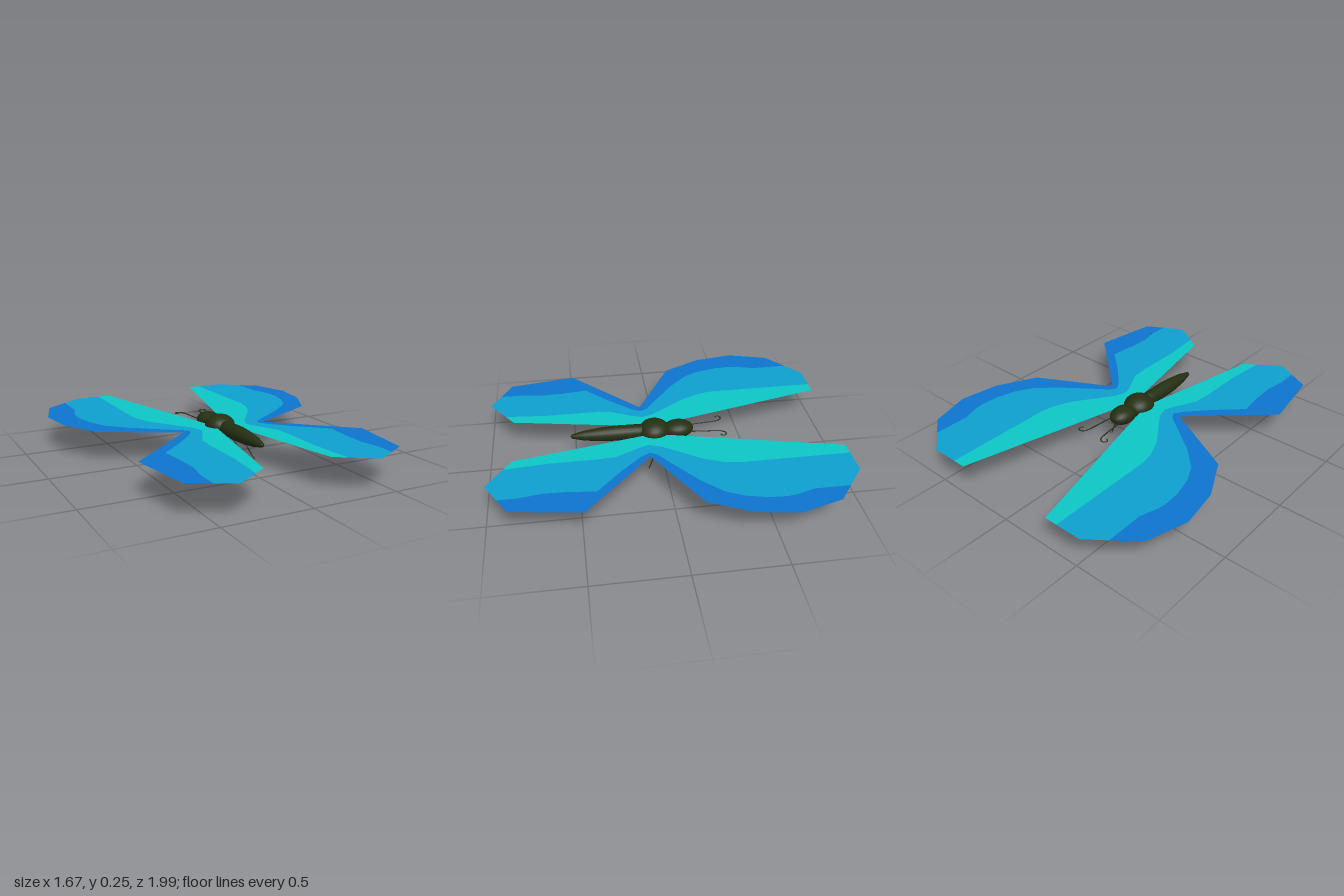
import * as THREE from 'three';

const mat = (name, color, side = THREE.FrontSide) => {
  const m = new THREE.MeshStandardMaterial({ color, side });
  m.name = name;
  return m;
};

export function createModel() {
  const root = new THREE.Group();
  root.name = 'butterfly';
  const dark = mat('dark olive', 0x242f12);
  const teal = mat('teal', 0x0cc6c6, THREE.DoubleSide);
  const sky = mat('sky blue', 0x0f9fce, THREE.DoubleSide);
  const blue = mat('deep blue', 0x0c74cd, THREE.DoubleSide);
  const wingY = 0.187;

  const add = (name, geometry, material, parent = root) => {
    const mesh = new THREE.Mesh(geometry, material);
    mesh.name = name;
    parent.add(mesh);
    return mesh;
  };

  // Body: head and thorax ellipsoids
  const ellipsoid = (name, z, rx, ry, rz) => {
    const g = new THREE.SphereGeometry(1, 24, 16);
    g.rotateX(Math.PI / 2);
    g.scale(rx, ry, rz);
    add(name, g, dark).position.set(0, wingY, z);
  };
  ellipsoid('head', -0.095, 0.066, 0.049, 0.088);
  ellipsoid('thorax', 0.045, 0.087, 0.064, 0.09);

  // Abdomen: tapered lathe pointing backwards along +z
  const profile = [[0, 0.05], [0.036, 0.08], [0.042, 0.14], [0.044, 0.27], [0.04, 0.35],
    [0.029, 0.45], [0.012, 0.52], [0, 0.53]].map(([r, z]) => new THREE.Vector2(r, z));
  const abdomen = new THREE.LatheGeometry(profile, 20);
  abdomen.rotateX(Math.PI / 2);
  add('abdomen', abdomen, dark).position.y = wingY;

  // Wing bands as [x, z] lines, running from the fore tip to the hind tip
  const innerLine = [[0.305, -1], [0.04, 0.06], [0.195, 0.855]];
  const tealLine = [[0.38, -1], [0.38, -0.37], [0.365, -0.29], [0.32, -0.185], [0.24, -0.07],
    [0.17, 0.03], [0.147, 0.1], [0.17, 0.16], [0.235, 0.29], [0.243, 0.4], [0.243, 0.66],
    [0.255, 0.8], [0.265, 0.902]];
  const blueLine = [[0.66, -0.7], [0.69, -0.61], [0.7, -0.555], [0.695, -0.45],
    [0.665, -0.335], [0.617, -0.24], [0.505, -0.13], [0.35, -0.015], [0.245, 0.06], [0.22, 0.1],
    [0.255, 0.155], [0.375, 0.28], [0.522, 0.413], [0.505, 0.556], [0.5, 0.69], [0.52, 0.82]];
  const outerLine = [[0.765, -0.82], [0.835, -0.585], [0.8, -0.355], [0.685, -0.127],
    [0.257, 0.1], [0.68, 0.487], [0.62, 0.87]];

  const band = (name, points, material, side, parent) => {
    const shape = new THREE.Shape(points.map(([x, z]) => new THREE.Vector2(side * x, -z)));
    const g = new THREE.ShapeGeometry(shape);
    g.rotateX(-Math.PI / 2);
    add(name, g, material, parent);
  };

  const tube = (name, points, radius, parent) => {
    const curve = new THREE.CatmullRomCurve3(points.map((p) => new THREE.Vector3(...p)));
    add(name, new THREE.TubeGeometry(curve, 24, radius, 6), dark, parent);
  };

  // Leg paths: root, knee, ankle, toe
  const legs = {
    headLeg: [[0.04, 0.145, -0.01], [0.08, 0.09, -0.06], [0.09, 0.05, -0.08], [0.095, 0.02, -0.09], [0.1, 0.017, -0.1]],
    middleLeg: [[0.045, 0.145, 0.02], [0.085, 0.09, 0.05], [0.108, 0.04, 0.075], [0.115, 0.008, 0.09], [0.12, 0.004, 0.095]],
    tailLeg: [[0.045, 0.145, 0.1], [0.095, 0.085, 0.19], [0.11, 0.055, 0.2], [0.128, 0.018, 0.215], [0.133, 0.012, 0.225]],
  };

  for (const side of [1, -1]) {
    const label = side > 0 ? 'left' : 'right';

    // Wing pair, with the outer band slightly wider on one side
    const wing = new THREE.Group();
    wing.name = label + 'Wings';
    wing.position.y = wingY;
    root.add(wing);
    const k = side > 0 ? 1 : 0.965;
    const edge = blueLine.map(([x, z]) => [x * k, z]);
    const foreX = 0.66 * k, hindX = 0.52 * k;
    edge.unshift([foreX, -1 + (foreX - 0.53) * 0.766]);
    edge.push([hindX, 0.993 - (hindX - 0.4) * 0.559]);
    const back = (line) => [...line].reverse();
    band('innerBand', [...innerLine, ...back(tealLine)], teal, side, wing);
    band('middleBand', [...tealLine, [0.4, 0.993], ...back(edge), [0.53, -1]], sky, side, wing);
    band('outerBand', [...edge, ...back(outerLine)], blue, side, wing);

    // Curled antenna
    tube(label + 'Antenna', [[0.035, -0.15], [0.042, -0.22], [0.048, -0.29], [0.058, -0.345],
      [0.08, -0.364], [0.1, -0.355], [0.101, -0.338], [0.088, -0.33]]
      .map(([x, z]) => [side * x, 0.181, z]), 0.0035, root);

    // Three legs
    for (const [name, path] of Object.entries(legs)) {
      tube(label + name[0].toUpperCase() + name.slice(1),
        path.map(([x, y, z]) => [side * x, y, z]), 0.0035, root);
    }
  }
  return root;
}
